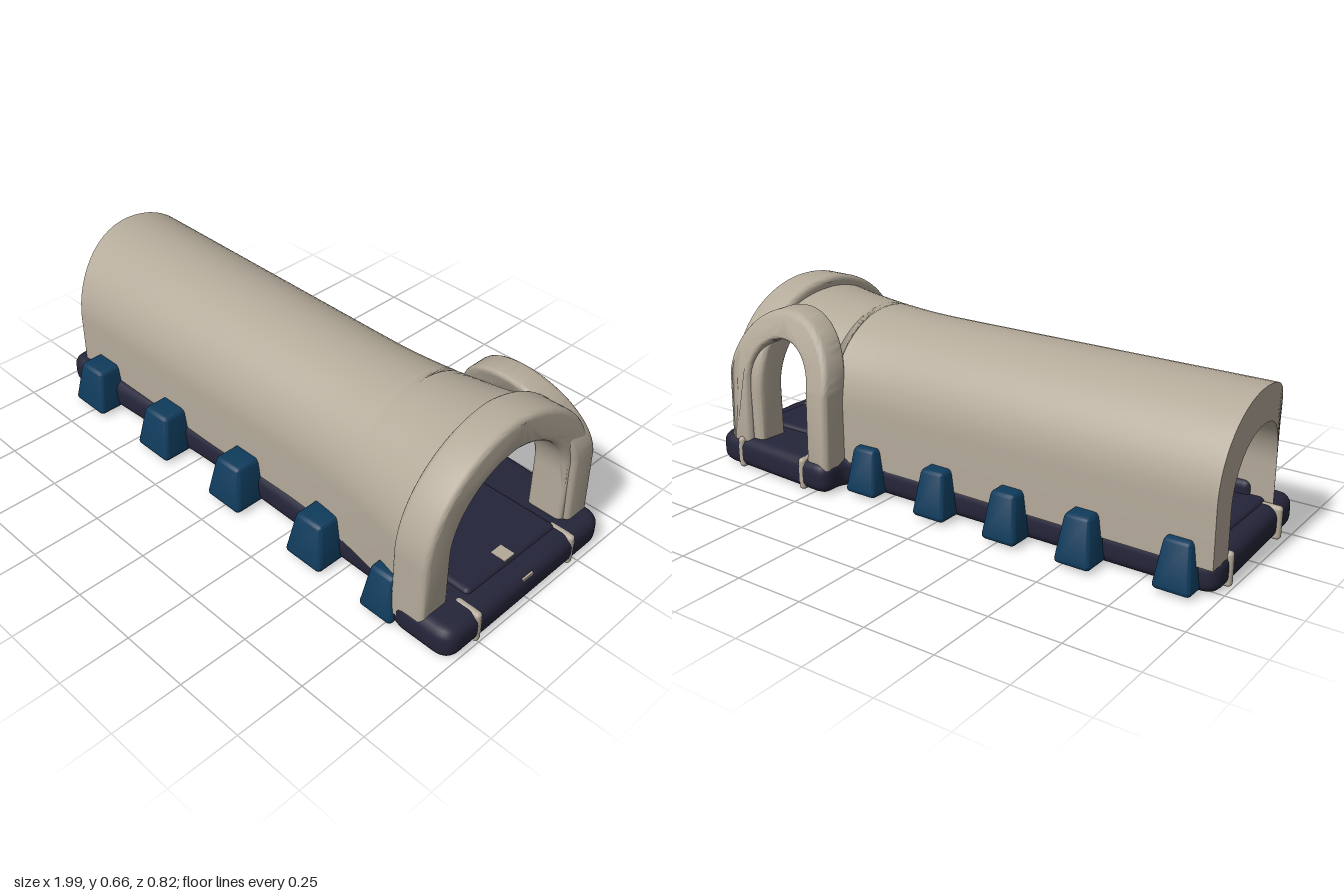
import * as THREE from 'three';
import { toCreasedNormals } from 'three/addons/utils/BufferGeometryUtils.js';
import { RoundedBoxGeometry } from 'three/addons/geometries/RoundedBoxGeometry.js';

const tan = new THREE.MeshStandardMaterial({ color: 0xb4aa9a });
tan.name = 'tanFabric';
const navy = new THREE.MeshStandardMaterial({ color: 0x25253a });
navy.name = 'navyFabric';
const blue = new THREE.MeshStandardMaterial({ color: 0x0f3b5c });
blue.name = 'blueFabric';

const DOOR_X = 0.685; // centre of the side doorway

function add(group, name, geometry, material, x = 0, y = 0, z = 0) {
  const mesh = new THREE.Mesh(geometry, material);
  mesh.name = name;
  mesh.position.set(x, y, z);
  group.add(mesh);
  return mesh;
}

// Move every vertex of a geometry by a rule
function warp(geometry, rule) {
  const p = geometry.attributes.position;
  const v = new THREE.Vector3();
  for (let i = 0; i < p.count; i++) {
    rule(v.fromBufferAttribute(p, i));
    p.setXYZ(i, v.x, v.y, v.z);
  }
  return toCreasedNormals(geometry, 0.7);
}

// Padded arch standing in the xy plane, centred in depth
function archGeometry(halfWidth, spring, rise, thick, depth) {
  const b = 0.02, w = halfWidth - b, wi = halfWidth - thick + b;
  const foot = 0.08;
  const s = new THREE.Shape();
  s.moveTo(w, foot);
  s.lineTo(w, spring);
  s.absellipse(0, spring, w, rise - b, 0, Math.PI, false);
  s.lineTo(-w, foot);
  s.lineTo(-wi, foot);
  s.lineTo(-wi, spring);
  s.absellipse(0, spring, wi, rise - thick + b, Math.PI, 0, true);
  s.lineTo(wi, foot);
  const g = new THREE.ExtrudeGeometry(s, {
    depth: depth - 2 * b, bevelSize: b, bevelThickness: b, bevelSegments: 4, curveSegments: 24,
  });
  g.translate(0, 0, -depth / 2 + b);
  return g;
}

// Points across one tunnel section, front foot to back foot (cut above the doorway)
function sectionPoints(halfWidth, spring, rise, cut) {
  const n = 28, pts = [[0.1, halfWidth]];
  const open = cut > spring;
  const end = open ? Math.PI - Math.asin(Math.min(1, (cut - spring) / rise)) : Math.PI;
  for (let i = 0; i <= n; i++) {
    const a = (end * i) / n;
    pts.push([spring + rise * Math.sin(a), halfWidth * Math.cos(a)]);
  }
  pts.push(open ? [...pts[pts.length - 1]] : [0.1, -halfWidth]);
  return pts;
}

// Thick tunnel skin, flaring towards the large arch
function tunnelGeometry() {
  const pos = [], index = [], stations = 72, x0 = -0.98, x1 = 0.8;
  let m = 0;
  for (let k = 0; k <= stations; k++) {
    const x = x0 + ((x1 - x0) * k) / stations;
    const f = Math.min(1, Math.max(0, (x - 0.2) / 0.58) ** 2);
    const flare = x > 0.2 ? f : 0;
    const d = (x - DOOR_X) / 0.2;
    const cut = Math.abs(d) < 1 ? 0.36 + 0.2 * Math.sqrt(1 - d * d) : 0;
    const waist = 0.3 - 0.012 * Math.min(1, (x + 0.98) / 1.1);
    const outer = sectionPoints(THREE.MathUtils.lerp(waist, 0.37, flare), 0.3, 0.285 + 0.04 * flare, cut);
    const inner = sectionPoints(0.2 + 0.07 * flare, 0.25 + 0.05 * flare, 0.215 + 0.02 * flare, Math.min(cut, 0.5));
    const loop = [...outer, ...inner.reverse()];
    m = loop.length;
    const skew = THREE.MathUtils.clamp((-0.5 - x) / 0.48, 0, 1);
    for (const [y, z] of loop) pos.push(x + skew * 0.07 * Math.max(0, z / 0.3) ** 2, y, z);
  }
  for (let k = 0; k < stations; k++) {
    for (let i = 0; i < m; i++) {
      const a = k * m + i, b = k * m + ((i + 1) % m);
      index.push(a, a + m, b, b, a + m, b + m);
    }
  }
  // End rims
  for (let i = 0; i < m / 2 - 1; i++) {
    const j = m - 1 - i, e = stations * m;
    index.push(i, i + 1, j, i + 1, j - 1, j);
    index.push(e + i, e + j, e + i + 1, e + i + 1, e + j, e + j - 1);
  }
  const g = new THREE.BufferGeometry();
  g.setAttribute('position', new THREE.Float32BufferAttribute(pos, 3));
  g.setIndex(index);
  return toCreasedNormals(g, 0.7);
}

// Pillow-edged footprint with rounded corners
function baseGeometry() {
  const b = 0.04;
  const outline = [
    [-0.99, -0.29], [0.44, -0.29], [0.43, -0.42], [0.99, -0.385], [0.998, 0.395],
    [0.76, 0.395], [0.72, 0.31], [-0.2, 0.3], [-0.97, 0.34],
  ].map(([x, z]) => new THREE.Vector2(x, -z));
  const s = new THREE.Shape();
  const n = outline.length;
  outline.forEach((p, i) => {
    const r = 0.065;
    const toward = (q) => p.clone().add(q.clone().sub(p).setLength(Math.min(r, p.distanceTo(q) / 2)));
    const a = toward(outline[(i + n - 1) % n]), c = toward(outline[(i + 1) % n]);
    if (i === 0) s.moveTo(a.x, a.y); else s.lineTo(a.x, a.y);
    s.quadraticCurveTo(p.x, p.y, c.x, c.y);
  });
  const g = new THREE.ExtrudeGeometry(s, {
    depth: 0.115 - 2 * b, bevelSize: b, bevelThickness: b, bevelOffset: -b, bevelSegments: 5, curveSegments: 8,
  });
  g.rotateX(-Math.PI / 2);
  g.translate(0, b + 0.005, 0);
  return toCreasedNormals(g, 0.7);
}

// Tapered side buttress, outer face pointing to +z
function buttressGeometry(width, reach, height) {
  const depth = reach - 0.24;
  const g = new RoundedBoxGeometry(width, height, depth, 3, 0.018);
  return warp(g, (v) => {
    const t = v.y / height + 0.5;
    v.x *= 1 - 0.33 * t;
    if (v.z > 0) v.z -= 0.03 * t;
    v.y += height / 2 + 0.015;
    v.z += 0.24 + depth / 2;
  });
}

export function createModel() {
  const model = new THREE.Group();
  model.name = 'inflatableTunnel';

  // Base, floor and inner side tubes
  add(model, 'base', baseGeometry(), navy);
  add(model, 'floorPad', new RoundedBoxGeometry(1.84, 0.05, 0.44, 3, 0.02), navy, 0, 0.108, 0);
  for (const side of [1, -1]) {
    add(model, 'innerTube', new RoundedBoxGeometry(1.3, 0.09, 0.08, 3, 0.025), navy, -0.22, 0.135, side * 0.225);
  }

  // Tunnel and entrance arches
  add(model, 'tunnel', tunnelGeometry(), tan);
  const main = archGeometry(0.39, 0.3, 0.36, 0.118, 0.135);
  main.rotateY(Math.PI / 2);
  add(model, 'endArch', warp(main, (v) => {
    v.x += 0.822;
    if (v.z < 0) {
      v.x -= 0.08 * v.z;
      v.z *= 0.92;
    }
  }), tan);
  const door = archGeometry(0.245, 0.36, 0.25, 0.1, 0.11);
  add(model, 'sideArch', warp(door, (v) => {
    const lean = Math.max(0, (v.y - 0.3) / 0.31);
    v.z += -0.335 + 0.1 * lean ** 1.5 + 0.05 * v.x;
    v.x += DOOR_X;
  }), tan);

  // Side buttresses
  for (const [x, width] of [[-0.765, 0.17], [-0.385, 0.17], [0, 0.165], [0.39, 0.165], [0.71, 0.14]]) {
    add(model, 'frontButtress', buttressGeometry(width, 0.41, 0.165), blue, x);
  }
  for (const [x, reach] of [[-0.87, 0.355], [-0.545, 0.385], [-0.265, 0.38], [0.025, 0.372], [0.335, 0.355]]) {
    add(model, 'backButtress', buttressGeometry(0.135, reach, 0.165), blue, x).rotation.y = Math.PI;
  }

  // Hanging balls under the roof
  for (const [x, y] of [[0.7, 0.525], [-0.1, 0.495]]) {
    add(model, 'hangingBall', new THREE.SphereGeometry(0.058, 24, 16), tan, x, y, 0);
  }

  // Straps around the base ends and the doorway sill
  const strap = (x, z, length, turn) => {
    const g = new RoundedBoxGeometry(length, 0.117, 0.028, 3, 0.013);
    add(model, 'baseStrap', g, tan, x, 0.064, z).rotation.y = turn;
  };
  strap(0.948, 0.25, 0.1, 0);
  strap(0.942, -0.22, 0.1, 0);
  strap(-0.942, 0.19, 0.09, 0);
  strap(-0.95, -0.19, 0.09, 0);
  strap(0.55, -0.36, 0.11, Math.PI / 2);
  strap(0.87, -0.345, 0.1, Math.PI / 2);

  // Small floor patches
  for (const x of [0.925, 0.62, 0.1]) {
    const y = x > 0.9 ? 0.13 : 0.133;
    add(model, 'floorPatch', new THREE.BoxGeometry(0.055, 0.008, 0.05), tan, x - 0.04, y, 0.01);
  }
  add(model, 'endPatch', new THREE.BoxGeometry(0.008, 0.016, 0.05), tan, 0.985, 0.1, 0.01);
  return model;
}
